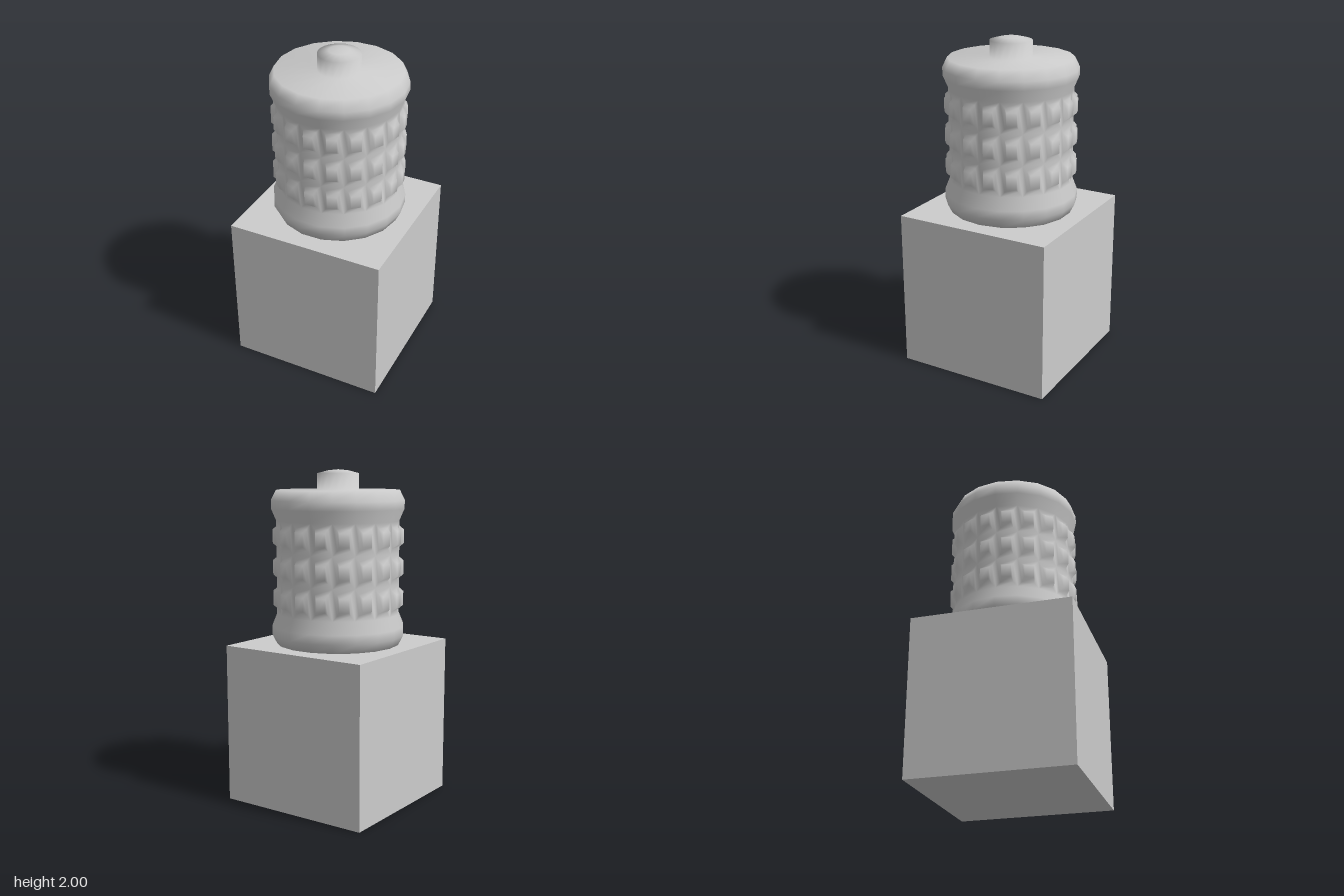
import * as THREE from 'three';
import { mergeVertices } from 'three/addons/utils/BufferGeometryUtils.js';

const SIDES = 18;
const CUBE = 0.96;

// Radius and height of each ring, from the underside to the tip of the button
const PROFILE = [
  [0, 0.955], [0.37, 0.955], [0.4, 1.015], [0.4, 1.07],
  [0.37, 1.145], [0.37, 1.33], [0.37, 1.515], [0.37, 1.7],
  [0.4, 1.77], [0.4, 1.82], [0.37, 1.88],
  [0.125, 1.88], [0.125, 1.977], [0.06, 1.994], [0, 2],
];
const isStudded = (row) => row >= 4 && row <= 6;

function knurledGrip() {
  const positions = [];
  const triangle = (...points) => points.forEach((p) => positions.push(p.x, p.y, p.z));
  const quad = (a, b, c, d) => { triangle(a, b, c); triangle(a, c, d); };
  const point = ([r, y], i) => {
    const t = ((i + 0.5) / SIDES) * Math.PI * 2;
    return new THREE.Vector3(r * Math.sin(t), y, r * Math.cos(t));
  };

  // Four strips joining an outer loop of corners to an inner one
  const frame = (outer, inner) => {
    for (let k = 0; k < 4; k++) {
      const n = (k + 1) % 4;
      quad(outer[k], outer[n], inner[n], inner[k]);
    }
  };

  // Wall panel with a tapered stud rising from its middle
  const studPanel = (corners) => {
    const [a, b, c, d] = corners;
    const centre = a.clone().add(c).multiplyScalar(0.5);
    const across = b.clone().sub(a).multiplyScalar(0.5);
    const up = d.clone().sub(a).multiplyScalar(0.5);
    const out = across.clone().cross(up).normalize();
    const loop = (w, h, lift) => [[-1, -1], [1, -1], [1, 1], [-1, 1]].map(([u, v]) =>
      centre.clone().addScaledVector(across, u * w).addScaledVector(up, v * h).addScaledVector(out, lift));
    const base = loop(0.6, 0.66, 0);
    const top = loop(0.44, 0.42, 0.028);
    frame(corners, base);
    frame(base, top);
    quad(...top);
  };

  for (let row = 0; row < PROFILE.length - 1; row++) {
    for (let i = 0; i < SIDES; i++) {
      const corners = [
        point(PROFILE[row], i), point(PROFILE[row], i + 1),
        point(PROFILE[row + 1], i + 1), point(PROFILE[row + 1], i),
      ];
      if (isStudded(row)) studPanel(corners);
      else quad(...corners);
    }
  }

  // Shared vertices give one smooth surface
  const geometry = new THREE.BufferGeometry();
  geometry.setAttribute('position', new THREE.Float32BufferAttribute(positions, 3));
  const smooth = mergeVertices(geometry);
  smooth.computeVertexNormals();
  return smooth;
}

export function createModel() {
  const model = new THREE.Group();
  model.name = 'knurledKnobOnBlock';
  const material = new THREE.MeshStandardMaterial({ color: 0xcccccc });

  // Square base block
  const block = new THREE.Mesh(new THREE.BoxGeometry(CUBE, CUBE, CUBE), material);
  block.name = 'baseBlock';
  block.position.y = CUBE / 2;
  model.add(block);

  // Round studded grip with its button
  const grip = new THREE.Mesh(knurledGrip(), material);
  grip.name = 'studdedGripWithButton';
  model.add(grip);

  return model;
}
